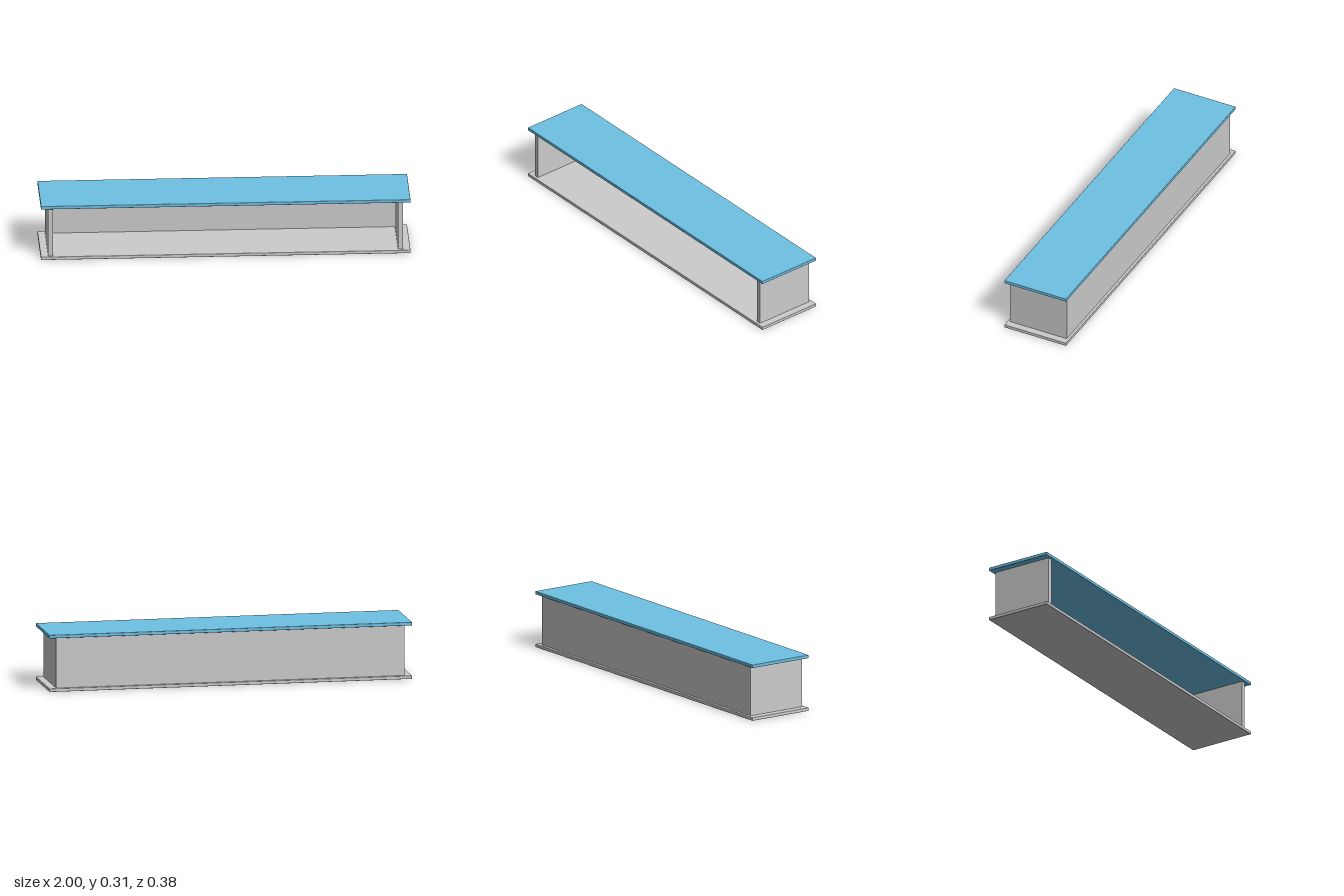
import * as THREE from 'three';
import { RoundedBoxGeometry } from 'three/addons/geometries/RoundedBoxGeometry.js';

export function createModel() {
  const group = new THREE.Group();
  const grey = new THREE.MeshStandardMaterial({ color: 0xcccccc });
  const blue = new THREE.MeshStandardMaterial({ color: 0x6ec1e4 });

  const height = 0.312, board = 0.018, depth = 0.375;
  const innerHeight = height - 2 * board;
  const sideX = 0.96, sideT = 0.027, bodyDepth = 0.344, backT = 0.014;

  const add = (name, geometry, material, x, y, z) => {
    const mesh = new THREE.Mesh(geometry, material);
    mesh.name = name;
    mesh.position.set(x, y, z);
    group.add(mesh);
  };

  // Overhanging boards with slightly eased edges
  const boardGeometry = new RoundedBoxGeometry(2, board, depth, 2, 0.0025);
  add('topBoard', boardGeometry, blue, 0, height - board / 2, 0);
  add('bottomBoard', boardGeometry, grey, 0, board / 2, 0);

  // End panels
  const sideGeometry = new THREE.BoxGeometry(sideT, innerHeight, bodyDepth);
  for (const [name, s] of [['leftPanel', 1], ['rightPanel', -1]]) {
    add(name, sideGeometry, grey, s * (sideX - sideT / 2), height / 2, 0);
  }

  // Back panel fitted between the ends; the front stays open
  add('backPanel', new THREE.BoxGeometry(2 * (sideX - sideT), innerHeight, backT),
    grey, 0, height / 2, -bodyDepth / 2 + backT / 2);

  return group;
}
